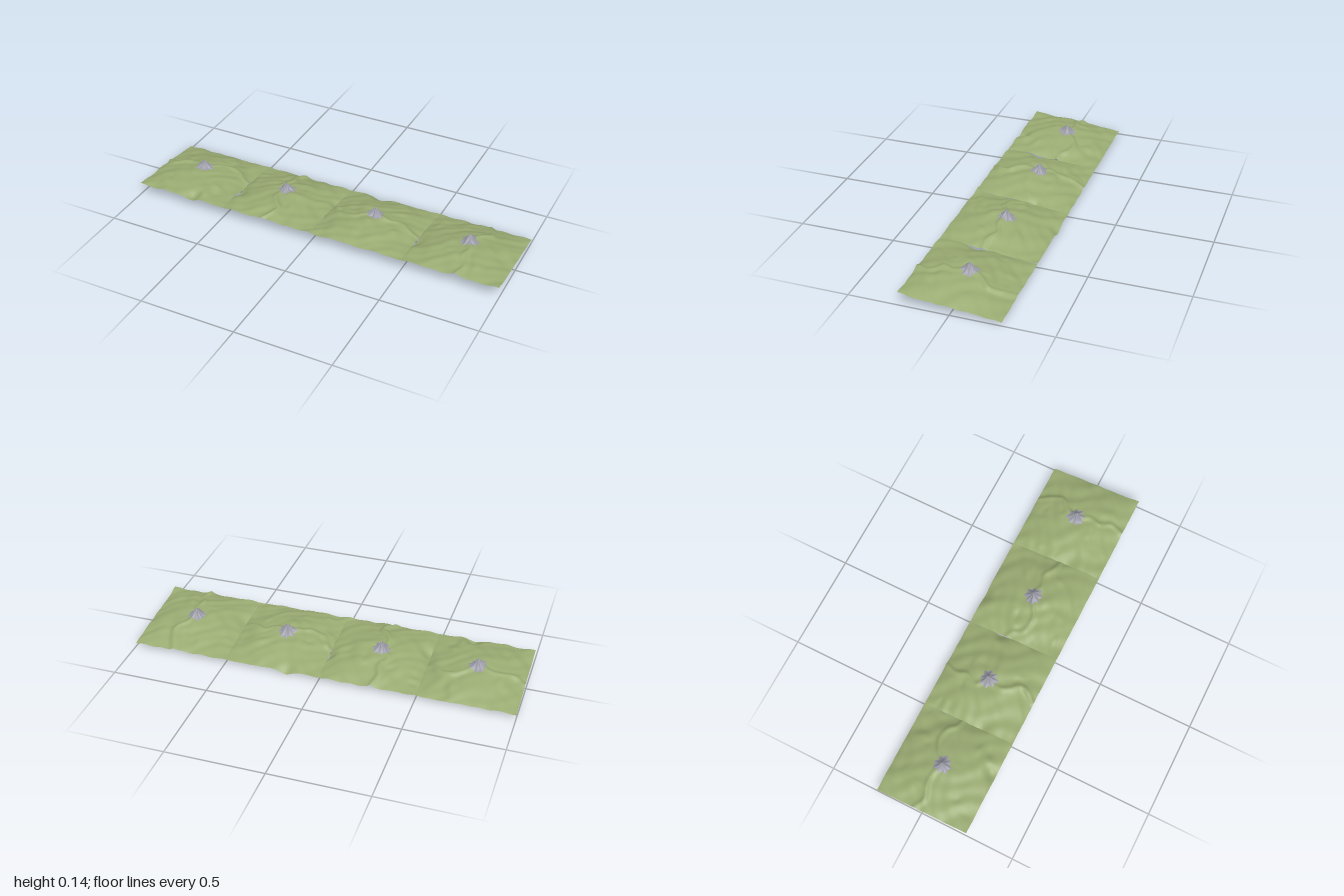
import * as THREE from 'three';

const SIZE = 0.5, SEG = 64;
const green = new THREE.MeshStandardMaterial({ color: 0x9aab72, side: THREE.DoubleSide });
const rock = new THREE.MeshStandardMaterial({ color: 0x9c9ca8, side: THREE.DoubleSide });

// Each tile: centre x, summit x, winding ridge points [x, z], and pits [x, z, radius, depth]
const TILES = [
  { cx: -0.75, px: -0.755,
    ridges: [[[-1, -0.04], [-0.94, -0.01], [-0.88, -0.03], [-0.82, -0.03], [-0.76, -0.01]],
      [[-0.75, -0.01], [-0.7, -0.06], [-0.65, -0.085], [-0.58, -0.075], [-0.54, -0.04], [-0.5, -0.03]]],
    pits: [[-0.68, 0.225, 0.035, 0.018]] },
  { cx: -0.25, px: -0.258,
    ridges: [[[-0.26, -0.01], [-0.28, 0.06], [-0.26, 0.11], [-0.22, 0.16], [-0.24, 0.21], [-0.27, 0.25]],
      [[-0.27, -0.02], [-0.31, -0.06], [-0.28, -0.12], [-0.29, -0.18], [-0.27, -0.25]]],
    pits: [[-0.5, 0.075, 0.032, 0.016], [0, -0.07, 0.032, 0.019]] },
  { cx: 0.25, px: 0.248,
    ridges: [[[0, -0.04], [0.03, -0.02], [0.06, 0.03], [0.14, 0.045], [0.19, 0.02], [0.24, 0]],
      [[0.26, -0.01], [0.32, 0.01], [0.38, -0.01], [0.44, 0.02], [0.5, 0.03]]],
    pits: [[0.175, -0.25, 0.035, 0.021]] },
  { cx: 0.75, px: 0.755,
    ridges: [[[0.76, -0.01], [0.78, -0.07], [0.83, -0.12], [0.82, -0.18], [0.79, -0.25]],
      [[0.75, 0.01], [0.78, 0.06], [0.77, 0.12], [0.8, 0.18], [0.78, 0.25]]],
    pits: [[0.5, 0.065, 0.032, 0.016]] },
];

function seeded(seed) {
  return () => (seed = (seed * 16807) % 2147483647) / 2147483647;
}

const bell = (d2, r) => Math.exp(-d2 / (r * r));

// Returns the height function of one tile
function makeHeight(tile, index) {
  const rand = seeded(917 + index * 331);
  const paths = tile.ridges.map(pts => new THREE.CatmullRomCurve3(
    pts.map(([x, z]) => new THREE.Vector3(x, 0, z))).getPoints(50));
  const bumps = Array.from({ length: 22 }, () => ({
    x: tile.cx + (rand() - 0.5) * 0.44, z: (rand() - 0.5) * 0.44,
    a: rand() * Math.PI, r: 0.012 + rand() * 0.018, h: (rand() - 0.45) * 0.012,
  }));
  return (x, z) => {
    const u = x - tile.cx;
    // sloping ground with a broad hill
    const hill = Math.max(0, Math.cos(Math.PI * u / SIZE) * Math.cos(Math.PI * z / SIZE));
    let y = 0.046 + 0.096 * z + 0.05 * Math.pow(hill, 0.85);
    // rolling folds
    const wx = x + 0.02 * Math.sin(23 * z + index), wz = z + 0.02 * Math.sin(19 * x);
    y += 0.0035 * Math.sin(31 * wx + 9 * wz) * Math.cos(27 * wz - 1)
      + 0.002 * Math.sin(57 * wx - 31 * wz + 2) + 0.001 * Math.sin(83 * wz + 45 * wx);
    // winding ridges
    for (const path of paths) {
      let d2 = Infinity;
      for (const p of path) d2 = Math.min(d2, (x - p.x) ** 2 + (z - p.z) ** 2);
      y += 0.01 * bell(d2, 0.013);
    }
    for (const [px, pz, r, d] of tile.pits) y -= d * bell((x - px) ** 2 + (z - pz) ** 2, r);
    // small elongated knolls and hollows
    for (const b of bumps) {
      const dx = x - b.x, dz = z - b.z, c = Math.cos(b.a), s = Math.sin(b.a);
      y += b.h * bell((dx * c + dz * s) ** 2 / 3 + (dz * c - dx * s) ** 2, b.r);
    }
    return y;
  };
}

function makeGround(tile, height) {
  const geo = new THREE.PlaneGeometry(SIZE, SIZE, SEG, SEG).rotateX(-Math.PI / 2).translate(tile.cx, 0, 0);
  const pos = geo.attributes.position;
  for (let i = 0; i < pos.count; i++) pos.setY(i, height(pos.getX(i), pos.getZ(i)));
  geo.computeVertexNormals();
  return new THREE.Mesh(geo, green);
}

// Jagged star-shaped summit: rings of a disc draped on the ground and lifted to a point
function makeSummit(tile, height, index) {
  const sides = 32, rings = 8, cz = -0.008;
  const pos = [], idx = [];
  const top = height(tile.px, cz);
  for (let j = 0; j <= rings; j++) {
    const t = j / rings;
    for (let i = 0; i < sides; i++) {
      const a = i / sides * Math.PI * 2;
      const spur = Math.cos(a * 8 + index) * 0.5 + Math.cos(a * 3 + index * 2) * 0.25;
      const r = t * (0.043 + 0.014 * spur);
      const x = tile.px + r * Math.cos(a), z = cz + r * Math.sin(a);
      const lift = (0.138 - top) * Math.pow(1 - t, 1.5) * (1 + 0.25 * spur * Math.min(1, t * 3));
      pos.push(x, height(x, z) + lift + 0.0015 * (1 - t) + 0.0006, z);
    }
  }
  for (let j = 0; j < rings; j++) for (let i = 0; i < sides; i++) {
    const k = (i + 1) % sides, a = j * sides, b = a + sides;
    idx.push(a + i, b + k, b + i, a + i, a + k, b + k);
  }
  const geo = new THREE.BufferGeometry();
  geo.setAttribute('position', new THREE.Float32BufferAttribute(pos, 3));
  geo.setIndex(idx);
  geo.computeVertexNormals();
  return new THREE.Mesh(geo, rock);
}

export function createModel() {
  const model = new THREE.Group();
  model.name = 'mountainTerrain';
  TILES.forEach((tile, i) => {
    const height = makeHeight(tile, i);
    const group = new THREE.Group();
    group.name = 'terrainTile' + (i + 1);
    const ground = makeGround(tile, height);
    ground.name = 'grassGround';
    const summit = makeSummit(tile, height, i);
    summit.name = 'rockySummit';
    group.add(ground, summit);
    model.add(group);
  });
  // rest the lowest point on y = 0
  const low = new THREE.Box3().setFromObject(model).min.y;
  model.children.forEach(tile => { tile.position.y = -low; });
  return model;
}
